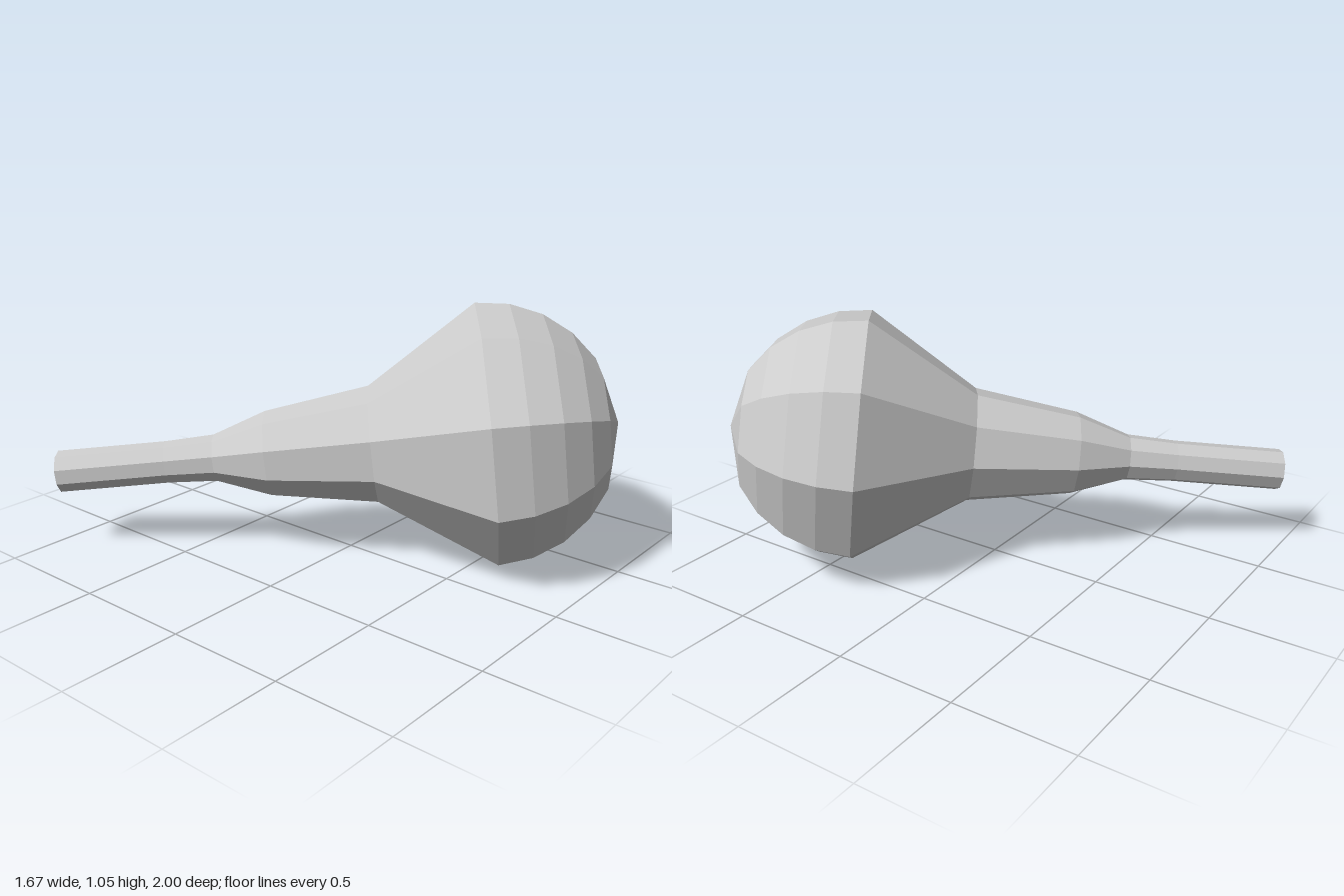
import * as THREE from 'three';

const SIDES = 9;
const RADIUS = 0.537;     // widest ring of the bulb
const BULB_START = 1.785; // distance of that ring from the handle end

export function createModel() {
  const group = new THREE.Group();
  const material = new THREE.MeshStandardMaterial({ color: 0xcccccc, flatShading: true });

  // Each part is turned around +y with the same facet alignment
  const turned = (name, profile) => {
    const points = profile.map(([r, y]) => new THREE.Vector2(r, y));
    const geometry = new THREE.LatheGeometry(points, SIDES, THREE.MathUtils.degToRad(-11));
    const mesh = new THREE.Mesh(geometry, material);
    mesh.name = name;
    return mesh;
  };

  // Slim grip with a closed end
  const handle = turned('handle', [[0, 0], [0.088, 0], [0.088, 0.46], [0.098, 0.665]]);

  // Neck swelling out to the widest ring
  const neck = turned('neck', [[0.098, 0.665], [0.177, 0.89], [0.242, 1.325], [RADIUS, BULB_START]]);

  // Domed end, closing in a blunt point
  const dome = [0, 15, 30, 45, 60, 90].map((deg) => {
    const a = THREE.MathUtils.degToRad(deg);
    return [deg === 90 ? 0 : RADIUS * Math.cos(a), BULB_START + RADIUS * Math.sin(a)];
  });
  const bulb = turned('bulb', dome);

  // Lay the turned body along its slanted axis
  const body = new THREE.Group();
  body.name = 'body';
  body.add(handle, neck, bulb);
  const axis = new THREE.Vector3(1.39, 0.25, 1.83).normalize();
  const side = new THREE.Vector3(-axis.z, 0, axis.x).normalize();
  const up = new THREE.Vector3().crossVectors(side, axis);
  body.quaternion.setFromRotationMatrix(new THREE.Matrix4().makeBasis(side, axis, up));
  body.position.set(-0.77, 0.35, -0.95);
  group.add(body);
  return group;
}
